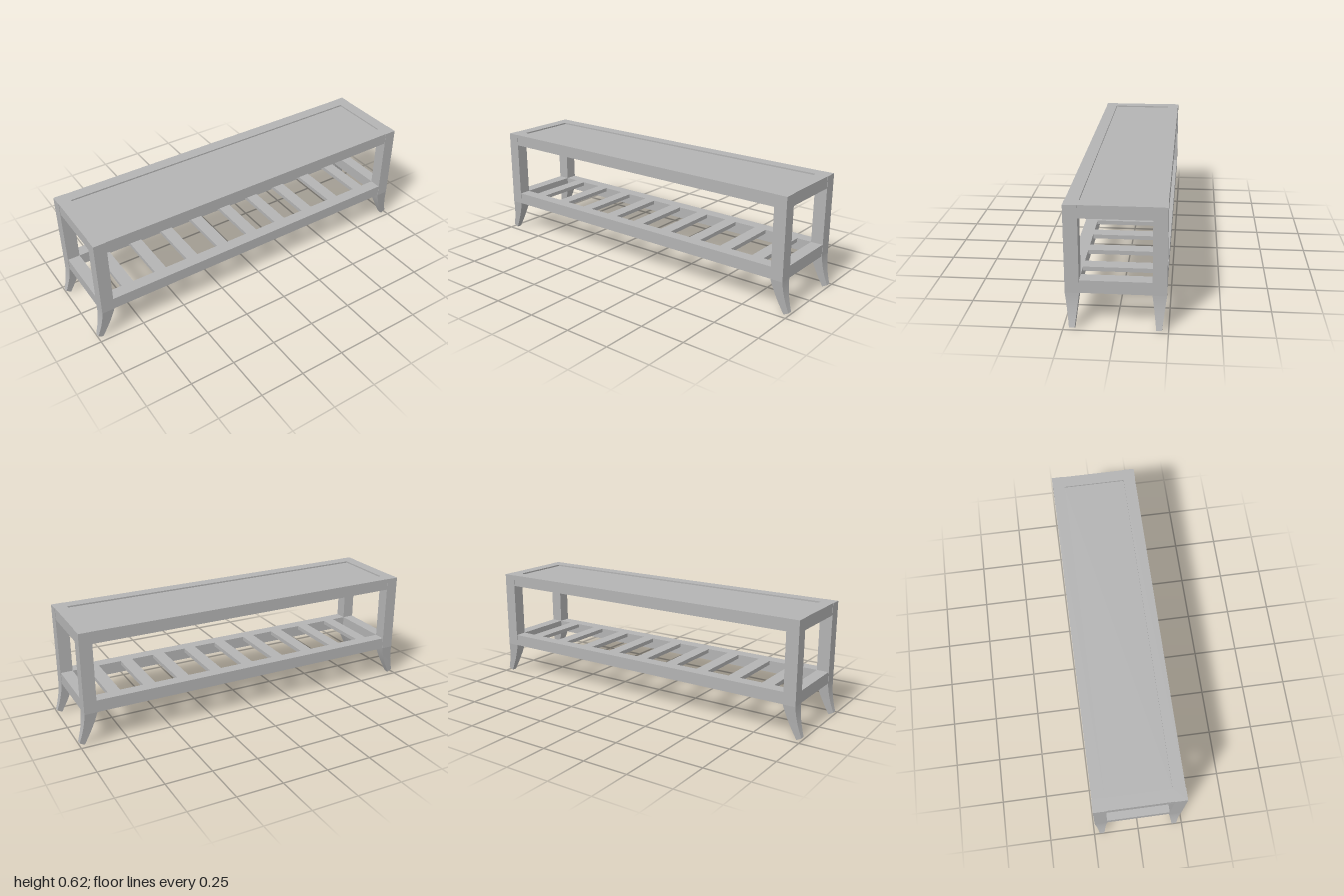
import * as THREE from 'three';

export function createModel() {
  const model = new THREE.Group();
  model.name = 'slattedBench';
  const grey = new THREE.MeshStandardMaterial({ color: 0xb3b3b3 });
  grey.name = 'plain grey';

  const LEG = 0.068, X = 0.968, Z = 0.24, TOP = 0.62, KNEE = 0.18;
  const legX = X - LEG / 2, legZ = Z - LEG / 2;
  const innerX = X - LEG, innerZ = Z - LEG;

  function add(name, geometry, x, y, z, parent = model) {
    const mesh = new THREE.Mesh(geometry, grey);
    mesh.name = name;
    mesh.position.set(x, y, z);
    parent.add(mesh);
    return mesh;
  }
  const box = (w, h, d) => new THREE.BoxGeometry(w, h, d);

  // Sabre foot: a box swept between an outer and an inner curve, tapering in depth
  const outer = new THREE.QuadraticBezierCurve(new THREE.Vector2(X, KNEE), new THREE.Vector2(0.97, 0.1), new THREE.Vector2(1, 0.014));
  const inner = new THREE.QuadraticBezierCurve(new THREE.Vector2(innerX, KNEE), new THREE.Vector2(0.92, 0.1), new THREE.Vector2(0.973, 0));
  function footGeometry() {
    const g = new THREE.BoxGeometry(1, 1, 1, 1, 12, 1);
    const p = g.attributes.position;
    for (let i = 0; i < p.count; i++) {
      const t = 0.5 - p.getY(i);
      const c = (p.getX(i) > 0 ? outer : inner).getPoint(t);
      p.setXYZ(i, c.x - legX, c.y, p.getZ(i) * THREE.MathUtils.lerp(LEG, 0.027, t));
    }
    g.computeVertexNormals();
    return g;
  }

  // Four legs, turned half round on the right side
  const foot = footGeometry();
  const post = box(LEG, TOP - KNEE, LEG);
  for (const sx of [1, -1]) {
    for (const sz of [1, -1]) {
      const leg = new THREE.Group();
      leg.name = (sz > 0 ? 'front' : 'back') + (sx > 0 ? 'Left' : 'Right') + 'Leg';
      leg.position.set(sx * legX, 0, sz * legZ);
      if (sx < 0) leg.rotation.y = Math.PI;
      add('post', post, 0, (TOP + KNEE) / 2, 0, leg);
      add('foot', foot, 0, 0, 0, leg);
      model.add(leg);
    }
  }

  // Rails of the seat frame and the shelf frame
  const RAIL = 0.065, inset = 0.002;
  for (const [name, y] of [['seat', TOP - RAIL / 2], ['shelf', KNEE + RAIL / 2]]) {
    for (const s of [1, -1]) {
      add(name + (s > 0 ? 'FrontRail' : 'BackRail'), box(2 * innerX, RAIL, LEG - inset), 0, y, s * (legZ - inset / 2));
      add(name + (s > 0 ? 'LeftRail' : 'RightRail'), box(LEG - inset, RAIL, 2 * innerZ), s * (legX - inset / 2), y, 0);
    }
  }

  // Seat panel, slightly sunk into its frame
  add('seatPanel', box(2 * innerX, 0.012, 2 * innerZ), 0, TOP - 0.014, 0);

  // Shelf slats, level with the top of the shelf frame
  const slat = box(0.068, 0.022, 2 * innerZ);
  for (let i = -4; i <= 4; i++) add('shelfSlat', slat, i * 0.196, KNEE + RAIL - 0.011, 0);

  return model;
}
